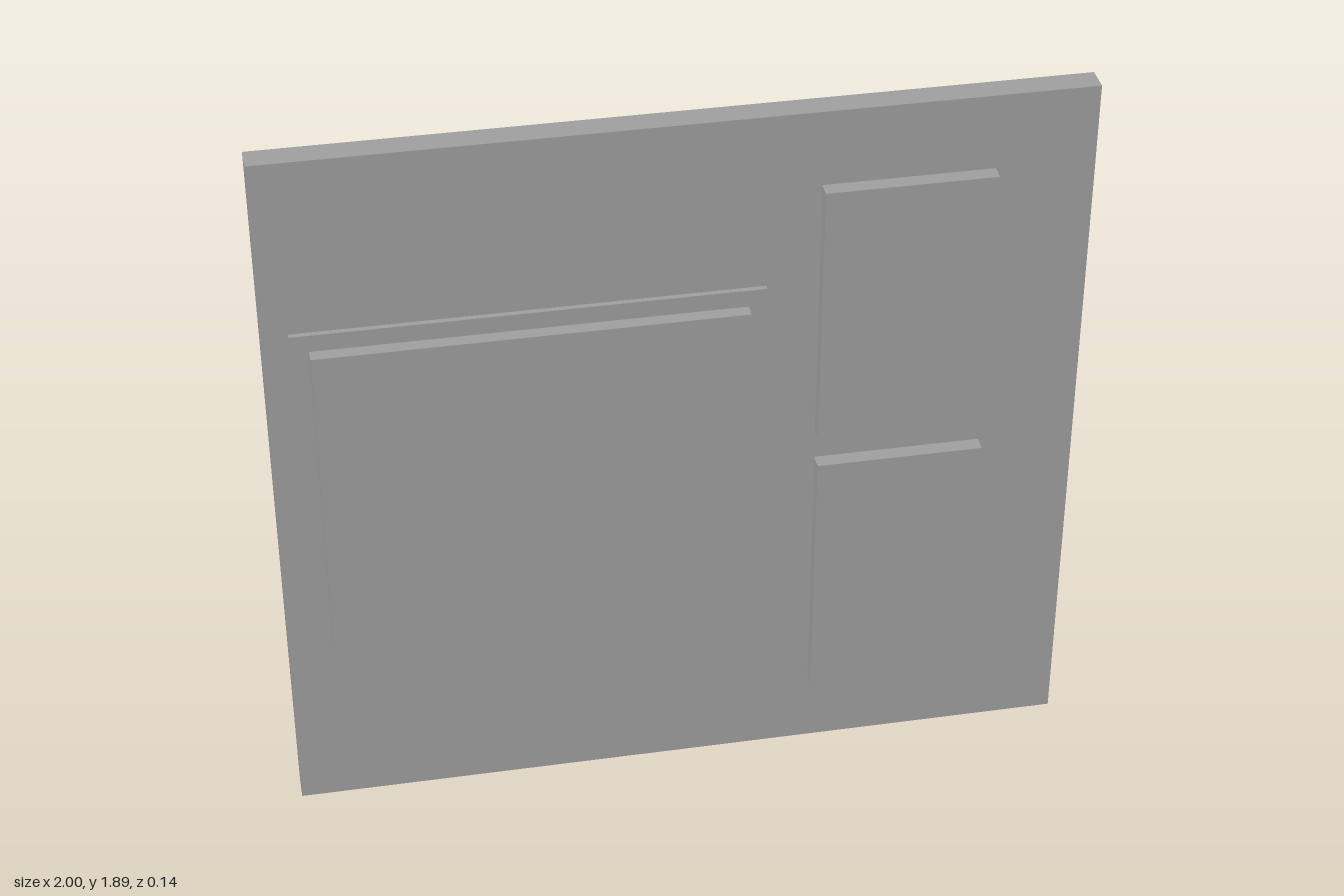
import * as THREE from 'three';

export function createModel() {
  const model = new THREE.Group();
  model.name = 'circuitModule';
  const grey = new THREE.MeshStandardMaterial({ color: 0xa0a0a0 });
  grey.name = 'grey';

  // Box given by its limits on each axis
  const slab = (name, [x0, x1], [y0, y1], [z0, z1]) => {
    const mesh = new THREE.Mesh(new THREE.BoxGeometry(x1 - x0, y1 - y0, z1 - z0), grey);
    mesh.position.set((x0 + x1) / 2, (y0 + y1) / 2, (z0 + z1) / 2);
    mesh.name = name;
    model.add(mesh);
  };

  // Board
  const front = 0.023, back = -0.043;
  slab('board', [-1, 1], [0, 1.892], [back, front]);

  // Main chip: thin base with a thicker lid
  slab('chipBase', [-0.935, 0.205], [0.468, 1.43], [front, 0.037]);
  slab('chipLid', [-0.89, 0.16], [0.512, 1.385], [0.037, 0.072]);

  // Two memory chips on the left side
  slab('upperMemoryChip', [0.335, 0.755], [0.988, 1.695], [front, 0.063]);
  slab('lowerMemoryChip', [0.335, 0.755], [0.2, 0.908], [front, 0.063]);

  // Grid of contact pins on the back, with an empty 4 x 4 centre
  const pins = new THREE.Group();
  pins.name = 'contactPins';
  const length = 0.029;
  const pinGeometry = new THREE.CylinderGeometry(0.0195, 0.0195, length, 20).rotateX(Math.PI / 2);
  for (let row = 0; row < 12; row++) {
    for (let col = 0; col < 13; col++) {
      if (row >= 4 && row <= 7 && col >= 5 && col <= 8) continue;
      const pin = new THREE.Mesh(pinGeometry, grey);
      pin.name = 'contactPin';
      pin.position.set(0.922 - col * 0.1453, 1.782 - row * 0.1453, back - length / 2);
      pins.add(pin);
    }
  }
  model.add(pins);
  return model;
}
